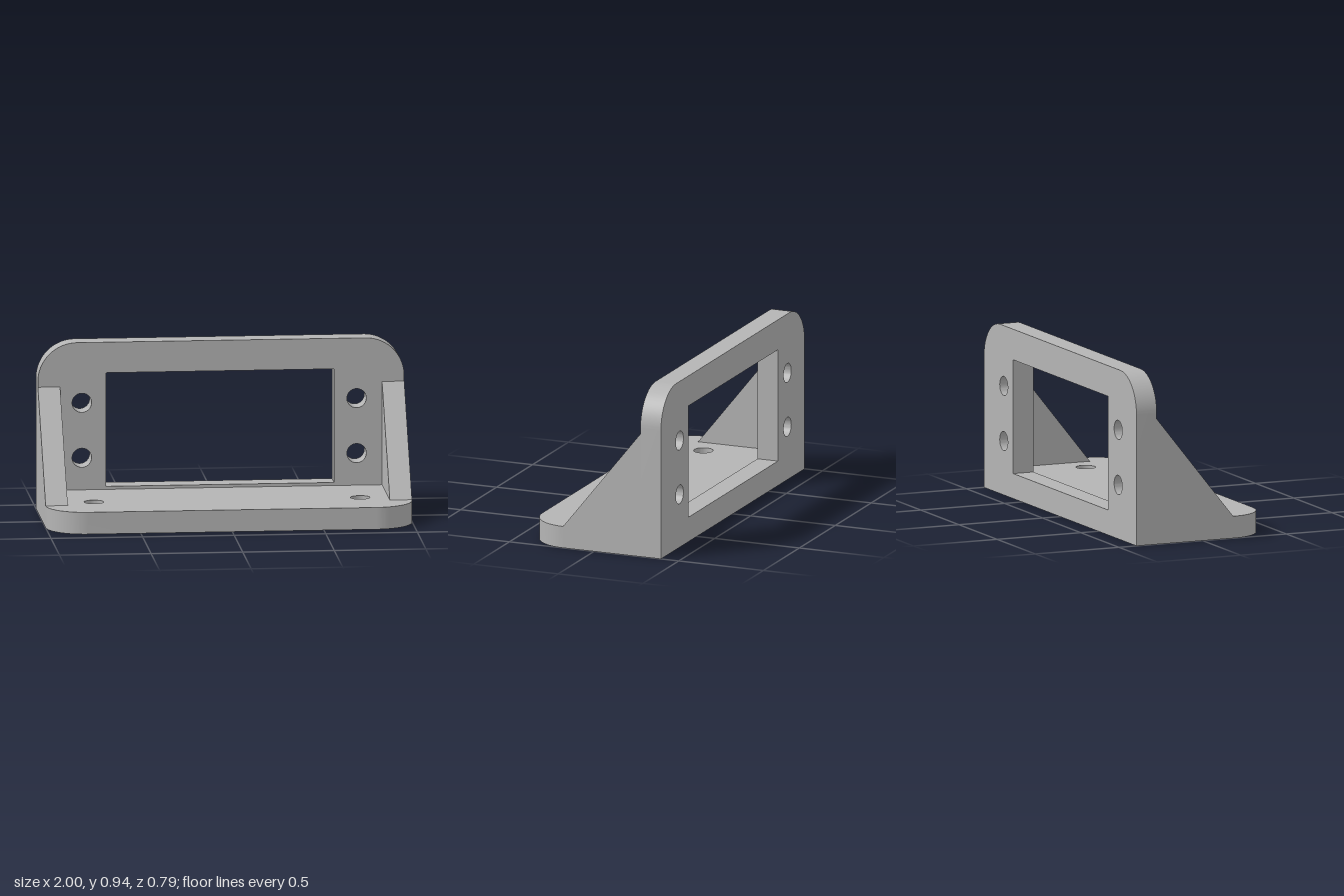
import * as THREE from 'three';
import { toCreasedNormals } from 'three/addons/utils/BufferGeometryUtils.js';

const THICK = 0.121, BACK = -0.395, FRONT = 0.395, HEIGHT = 0.935;
const WALL_FRONT = BACK + THICK;

// Rectangle over x = -1..1 with its two upper corners rounded
function roundedOutline(y0, y1, r) {
  const s = new THREE.Shape();
  s.moveTo(-1, y0);
  s.lineTo(1, y0);
  s.lineTo(1, y1 - r);
  s.absarc(1 - r, y1 - r, r, 0, Math.PI / 2, false);
  s.lineTo(-1 + r, y1);
  s.absarc(-1 + r, y1 - r, r, Math.PI / 2, Math.PI, false);
  s.closePath();
  return s;
}

function drill(shape, x, y, r = 0.053) {
  shape.holes.push(new THREE.Path().absarc(x, y, r, 0, Math.PI * 2, true));
}

function extrude(shape) {
  return toCreasedNormals(
    new THREE.ExtrudeGeometry(shape, { depth: THICK, bevelEnabled: false, curveSegments: 20 }), 0.6);
}

export function createModel() {
  const grey = new THREE.MeshStandardMaterial({ color: 0xb4b4b4 });
  grey.name = 'bracketGrey';
  const group = new THREE.Group();
  group.name = 'mountingBracket';
  const add = (name, geometry) => {
    const mesh = new THREE.Mesh(geometry, grey);
    mesh.name = name;
    group.add(mesh);
  };

  // Upright plate with a window and four screw holes
  const wall = roundedOutline(0, HEIGHT, 0.212);
  wall.holes.push(new THREE.Path([
    [-0.628, 0.138], [-0.628, 0.766], [0.616, 0.766], [0.616, 0.138],
  ].map(([x, y]) => new THREE.Vector2(x, y))));
  for (const x of [-0.76, 0.74]) for (const y of [0.298, 0.602]) drill(wall, x, y);
  add('uprightPlate', extrude(wall).translate(0, 0, BACK));

  // Base plate with rounded front corners and two screw holes
  const base = roundedOutline(WALL_FRONT, FRONT, 0.212);
  for (const x of [-0.728, 0.726]) drill(base, x, 0.088);
  add('basePlate', extrude(base).rotateX(Math.PI / 2).translate(0, THICK, 0));

  // Triangular gussets flush with both sides
  const gusset = new THREE.Shape([
    [WALL_FRONT, THICK], [0.183, THICK], [WALL_FRONT, 0.692],
  ].map(([z, y]) => new THREE.Vector2(z, y)));
  for (const [name, x] of [['leftGusset', 1], ['rightGusset', -1 + THICK]]) {
    add(name, extrude(gusset).rotateY(-Math.PI / 2).translate(x, 0, 0));
  }
  return group;
}
